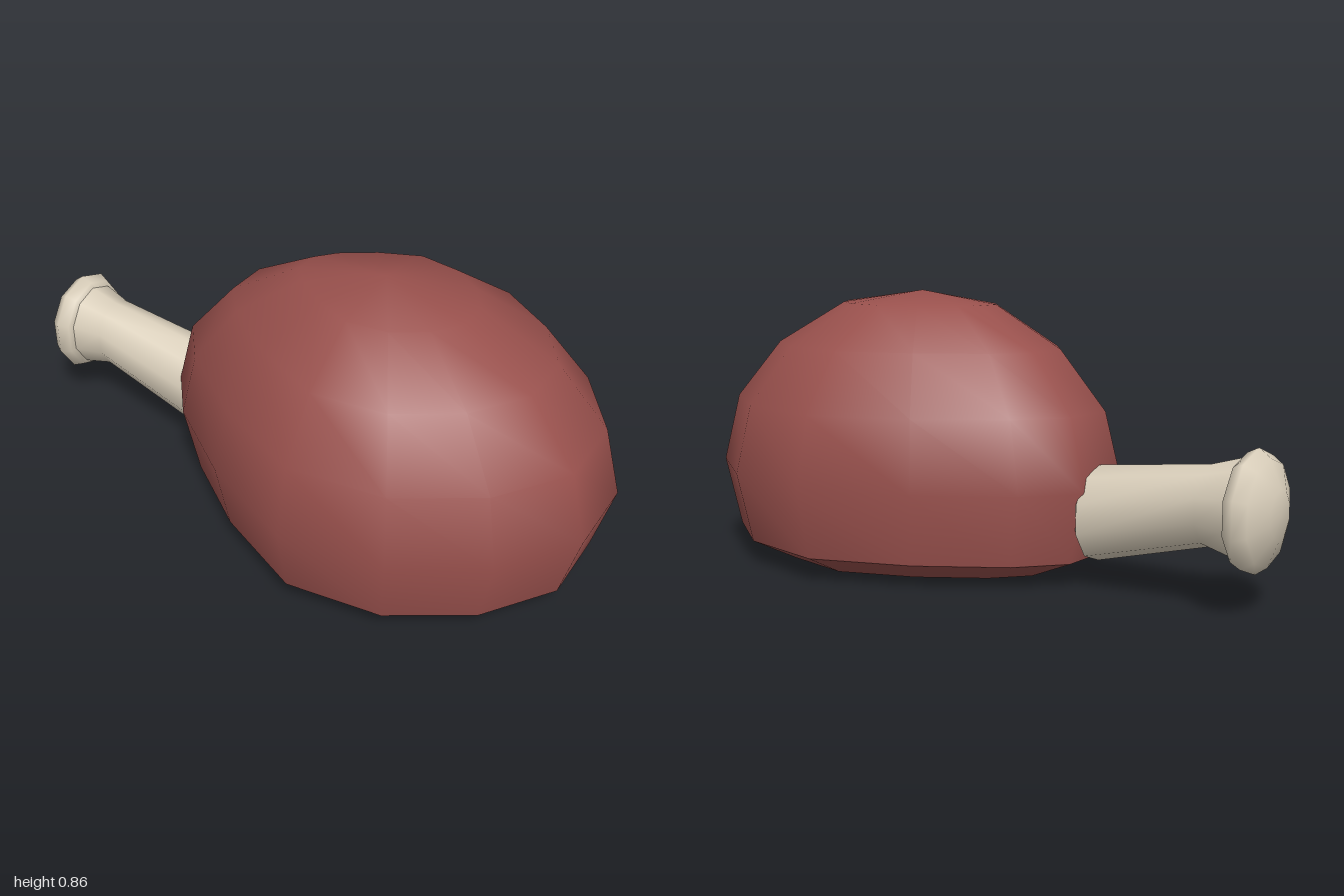
import * as THREE from 'three';
import { mergeVertices } from 'three/addons/utils/BufferGeometryUtils.js';

// Smooth skin through rings that all have the same number of points
function loft(rings) {
  const n = rings[0].length, index = [];
  for (let i = 0; i < rings.length - 1; i++) {
    for (let j = 0; j < n; j++) {
      const k = (j + 1) % n;
      const a = i * n + j, b = i * n + k, c = a + n, d = b + n;
      index.push(a, b, c, b, d, c);
    }
  }
  const geometry = new THREE.BufferGeometry();
  geometry.setAttribute('position', new THREE.Float32BufferAttribute(rings.flat(2), 3));
  geometry.setIndex(index);
  const welded = mergeVertices(geometry, 1e-5);
  welded.computeVertexNormals();
  return welded;
}

// Egg-shaped plan of the meat, one half, from the round end to the bone end
const half = [[1, 0.13], [0.84, 0.36], [0.59, 0.525], [0.27, 0.57], [-0.05, 0.43], [-0.31, 0.25], [-0.435, 0.1]];
const plan = [...half, ...half.slice().reverse().map(([x, z]) => [x, -z])];
const CENTRE = 0.27;
const meatRing = ([y, s]) => plan.map(([x, z]) => [CENTRE + (x - CENTRE) * s, y, z * s]);

// Elliptical cross-section of the bone
const boneRing = ([x, y, ry, rz]) => Array.from({ length: 10 }, (_, i) => {
  const t = (i / 10) * Math.PI * 2;
  return [x, y + Math.cos(t) * ry, Math.sin(t) * rz];
});

export function createModel() {
  const group = new THREE.Group();
  const meat = new THREE.MeshStandardMaterial({ color: 0x98504c });
  meat.name = 'meat red';
  const bone = new THREE.MeshStandardMaterial({ color: 0xdbd0bc });
  bone.name = 'bone cream';

  const add = (name, geometry, material) => {
    const mesh = new THREE.Mesh(geometry, material);
    mesh.name = name;
    group.add(mesh);
  };

  // Meat: rounded dome, then a flattened underside with a crisp rim
  add('meatDome', loft([[0.86, 0], [0.82, 0.385], [0.69, 0.705], [0.51, 0.92], [0.295, 1], [0.075, 0.925]].map(meatRing)), meat);
  add('meatUnderside', loft([[0.075, 0.925], [0.008, 0.705], [0, 0.4], [0.008, 0]].map(meatRing)), meat);

  // Bone: tapering shaft with its inner end closed inside the meat
  add('boneShaft', loft([
    [-0.93, 0.295, 0.14, 0.125],
    [-0.88, 0.295, 0.143, 0.122],
    [-0.79, 0.293, 0.118, 0.1],
    [-0.42, 0.22, 0.145, 0.128],
    [-0.4, 0.22, 0.12, 0.1],
    [-0.4, 0.22, 0, 0],
  ].map(boneRing)), bone);

  // Rounded knob at the end of the bone
  add('boneKnob', loft([
    [-1, 0.295, 0, 0],
    [-0.998, 0.295, 0.07, 0.06],
    [-0.965, 0.295, 0.152, 0.135],
    [-0.93, 0.295, 0.177, 0.156],
    [-0.895, 0.295, 0.16, 0.14],
    [-0.88, 0.295, 0.12, 0.105],
    [-0.9, 0.295, 0, 0],
  ].map(boneRing)), bone);

  return group;
}
